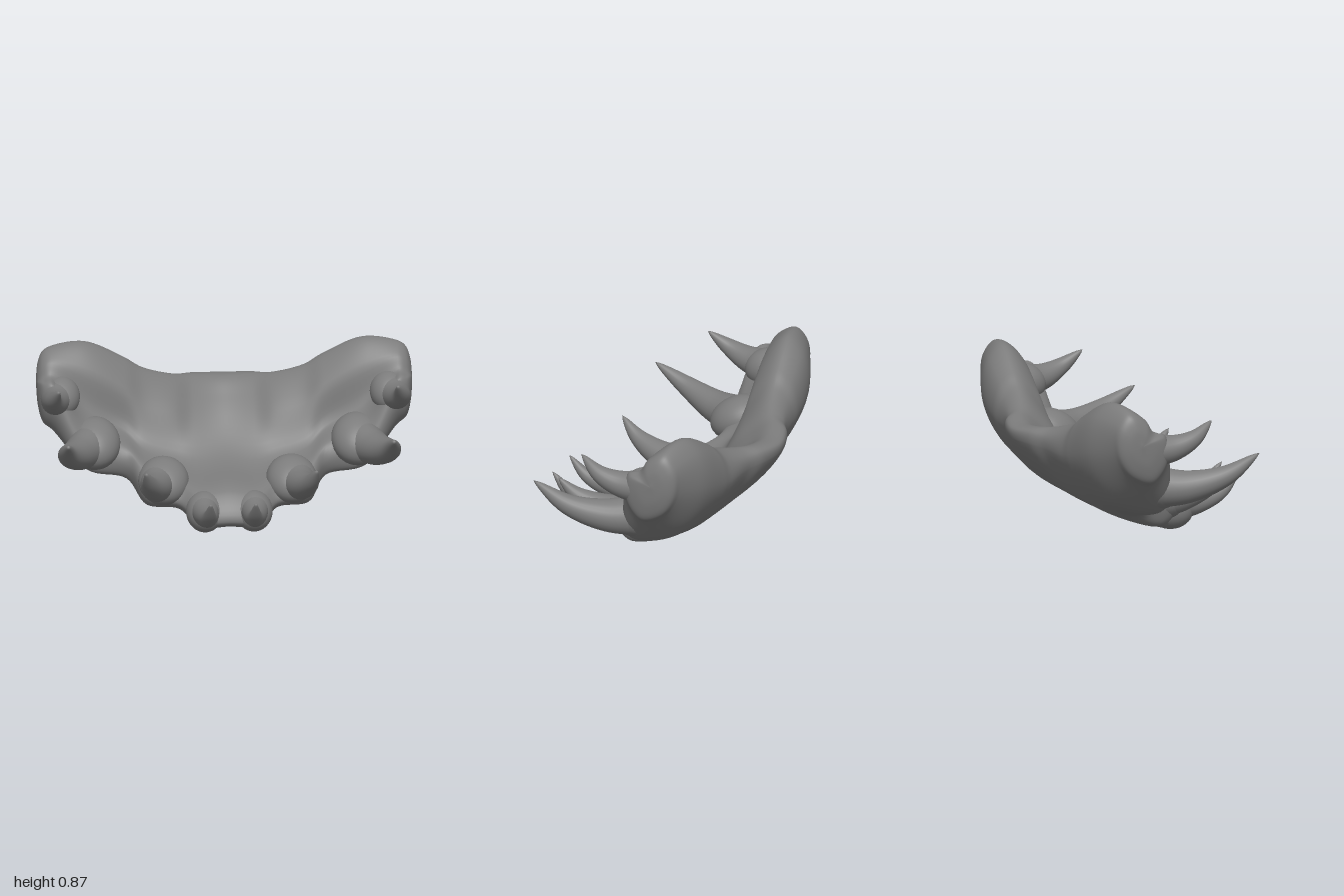
import * as THREE from 'three';
import { mergeVertices } from 'three/addons/utils/BufferGeometryUtils.js';

const material = new THREE.MeshStandardMaterial({ color: 0x7c7c7c });

// Half of the plate: x station, then [z, y] of the front tip, chin,
// lower back, back, shoulder, rim, inner rim and front ledge.
const SECTIONS = [
  [0, [[.33, .08], [.24, .03], [-.42, .295], [-.62, .54], [-.62, .6], [-.53, .615], [-.4, .52], [.23, .22]]],
  [.16, [[.3, .08], [.23, .02], [-.40, .285], [-.59, .54], [-.585, .61], [-.50, .63], [-.35, .52], [.22, .2]]],
  [.26, [[.18, .14], [.12, .09], [-.38, .275], [-.54, .53], [-.535, .61], [-.45, .65], [-.29, .53], [.11, .23]]],
  [.43, [[.13, .17], [.07, .10], [-.36, .275], [-.515, .52], [-.49, .65], [-.4, .71], [-.26, .58], [.05, .28]]],
  [.53, [[-.04, .28], [-.08, .2], [-.38, .315], [-.51, .53], [-.48, .71], [-.385, .775], [-.25, .65], [-.07, .36]]],
  [.74, [[-.03, .36], [-.05, .265], [-.36, .35], [-.485, .58], [-.46, .79], [-.36, .875], [-.24, .77], [-.08, .46]]],
  [.92, [[-.1, .59], [-.14, .49], [-.33, .49], [-.41, .62], [-.41, .78], [-.34, .86], [-.24, .81], [-.12, .71]]],
];

// Rounded ends: x station and shrink of the last section about its centre
const CAP = [[.965, .85], [.99, .52], [1, 0]];
const CAP_CENTRE = [-.28, .68];

// Fangs: root radius, path [x, y, z] from root to tip
const FANGS = [
  ['frontFang', .085, [[.135, .13, .2], [.128, .132, .38], [.122, .178, .53], [.12, .282, .635]]],
  ['secondFang', .105, [[.365, .225, .04], [.385, .24, .2], [.425, .305, .36], [.455, .405, .467]]],
  ['thirdFang', .112, [[.72, .385, -.1], [.79, .388, .06], [.857, .445, .25], [.866, .555, .443]]],
  ['rearFang', .1, [[.88, .63, -.24], [.91, .635, -.08], [.925, .68, .04], [.9, .766, .155]]],
];

// Gum swellings around the roots: centre, radii, backward tilt
const GUMS = [
  ['frontGum', [.13, .11, .23], [.1, .105, .13], .2],
  ['secondGum', [.34, .23, .06], [.135, .11, .16], .35],
  ['thirdGum', [.7, .39, -.11], [.14, .12, .17], .4],
  ['rearGum', [.875, .625, -.2], [.105, .105, .13], .3],
];

// Point between two section points, pushed off the line
const offset = (a, b, dz, dy) => [(a[0] + b[0]) / 2 + dz, (a[1] + b[1]) / 2 + dy];

// Adds the bulging underside and the hollow inner face, which fades to the ends
function fullSection([x, [tip, chin, low, back, shoulder, rim, inner, ledge]]) {
  const hollow = 1 - x ** 4;
  return [x, [tip, chin, offset(chin, low, .03, -.05), low, back, shoulder, rim, inner,
    offset(inner, ledge, -.04 * hollow, -.08 * hollow), ledge]];
}

// Welds a geometry so that its normals are smooth all round
function smooth(geo) {
  const merged = mergeVertices(geo, 1e-5);
  merged.computeVertexNormals();
  return merged;
}

// Curved plate skinned through the sections, mirrored about x = 0
function plateGeometry() {
  const around = 70, along = 144;
  const half = SECTIONS.map(fullSection);
  const last = half[half.length - 1][1];
  for (const [x, s] of CAP) {
    half.push([x, last.map((p) => p.map((c, k) => CAP_CENTRE[k] + (c - CAP_CENTRE[k]) * s))]);
  }
  const stations = [...half.slice(1).reverse().map(([x, p]) => [-x, p]), ...half];
  const loops = stations.map(([x, pts]) => {
    const curve = new THREE.CatmullRomCurve3(pts.map(([z, y]) => new THREE.Vector3(x, y, z)), true);
    return Array.from({ length: around }, (_, j) => curve.getPoint(j / around));
  });
  const columns = Array.from({ length: around }, (_, j) =>
    new THREE.CatmullRomCurve3(loops.map((l) => l[j])));
  const pos = [], index = [];
  for (let i = 0; i <= along; i++) {
    for (let j = 0; j < around; j++) {
      pos.push(...columns[j].getPoint(i / along).toArray());
      if (i === along) continue;
      const a = i * around + j, b = i * around + (j + 1) % around;
      index.push(a, b, a + around, b, b + around, a + around);
    }
  }
  const geo = new THREE.BufferGeometry();
  geo.setAttribute('position', new THREE.Float32BufferAttribute(pos, 3));
  geo.setIndex(index);
  return smooth(geo);
}

// Tube whose rings shrink towards the tip
function fangGeometry(points, radius, side) {
  const rings = 28, sides = 24;
  const curve = new THREE.CatmullRomCurve3(points.map(([x, y, z]) => new THREE.Vector3(side * x, y, z)));
  const geo = new THREE.TubeGeometry(curve, rings, radius, sides);
  const pos = geo.attributes.position, v = new THREE.Vector3();
  for (let i = 0; i <= rings; i++) {
    const centre = curve.getPointAt(i / rings);
    const taper = Math.pow(1 - i / rings, 0.7);
    for (let j = 0; j <= sides; j++) {
      const k = i * (sides + 1) + j;
      v.fromBufferAttribute(pos, k).sub(centre).multiplyScalar(taper).add(centre);
      pos.setXYZ(k, v.x, v.y, v.z);
    }
  }
  geo.deleteAttribute('uv');
  geo.deleteAttribute('normal');
  return smooth(geo);
}

export function createModel() {
  const model = new THREE.Group();
  model.name = 'fangedJaw';
  const add = (name, geometry) => {
    const mesh = new THREE.Mesh(geometry, material);
    mesh.name = name;
    model.add(mesh);
    return mesh;
  };

  add('jawPlate', plateGeometry());

  for (const [side, label] of [[1, 'Left'], [-1, 'Right']]) {
    for (const [name, radius, points] of FANGS) add(name + label, fangGeometry(points, radius, side));
    for (const [name, [x, y, z], radii, tilt] of GUMS) {
      const gum = add(name + label, new THREE.SphereGeometry(1, 32, 20));
      gum.position.set(side * x, y, z);
      gum.scale.set(...radii);
      gum.rotation.x = tilt;
    }
  }
  return model;
}
